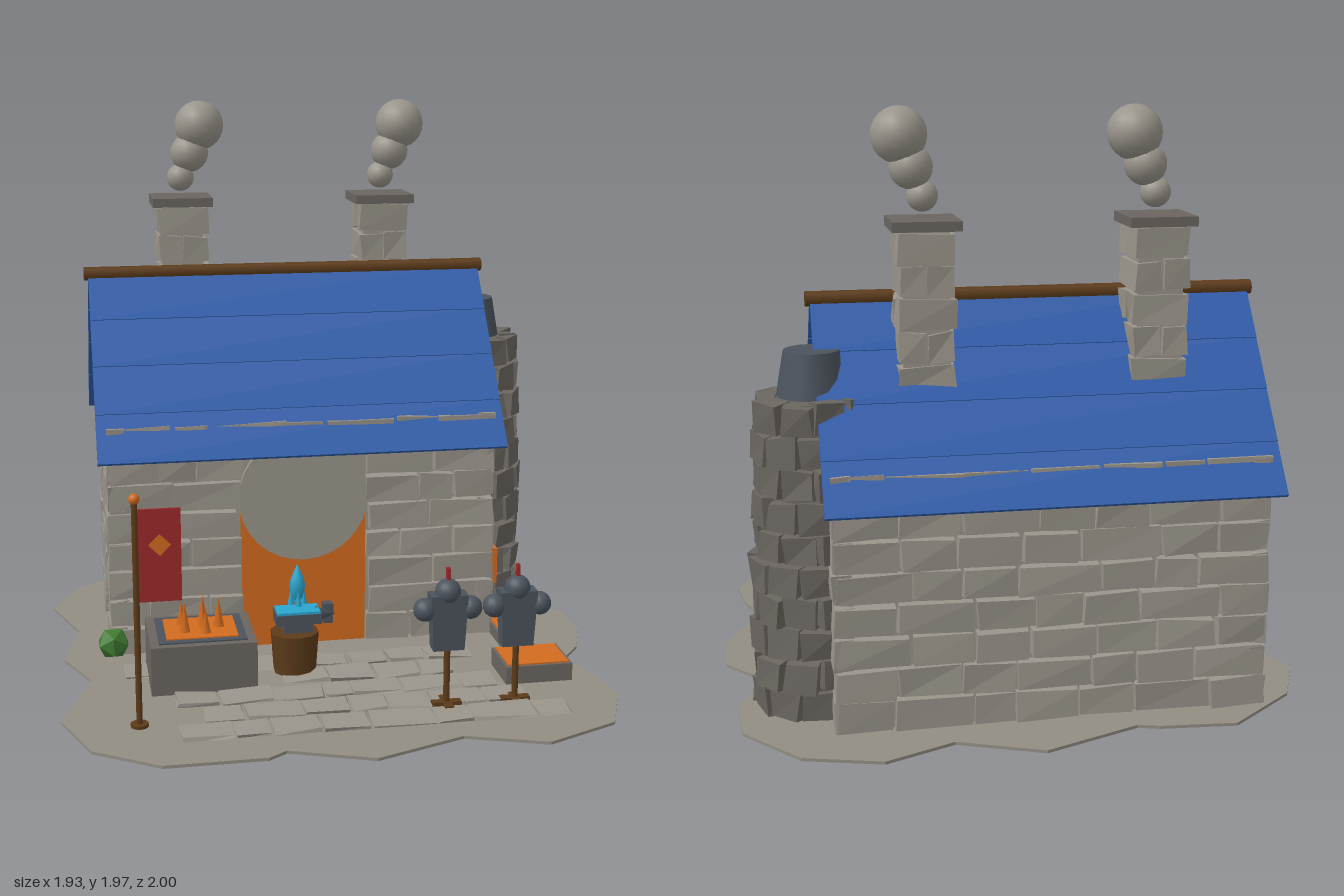
import * as THREE from 'three';
import { mergeGeometries } from 'three/addons/utils/BufferGeometryUtils.js';

const paint = (name, color) => {
  const m = new THREE.MeshStandardMaterial({ color });
  m.name = name;
  return m;
};

export function createModel() {
  const stone = paint('pale stone', 0x9a958b), darkStone = paint('dark stone', 0x6a655f);
  const earth = paint('earth', 0x938d82), blue = paint('roof blue', 0x2f5dab);
  const wood = paint('wood', 0x5c3b19), orange = paint('molten orange', 0xd26b1f);
  const iron = paint('iron', 0x4b535c), red = paint('banner red', 0x9c2a2a);
  const cyan = paint('cyan', 0x2ba6cf), green = paint('leaf green', 0x3f7a30);
  const model = new THREE.Group();
  const FLOOR = 0.042;

  let seed = 7;
  const rnd = (a = 0, b = 1) => {
    seed = (seed * 16807) % 2147483647;
    return a + (b - a) * (seed / 2147483647);
  };
  const add = (parent, name, geo, mat, x = 0, y = 0, z = 0) => {
    const m = new THREE.Mesh(geo, mat);
    m.name = name;
    m.position.set(x, y, z);
    parent.add(m);
    return m;
  };
  const group = (name, parent = model, x = 0, y = 0, z = 0) => {
    const g = new THREE.Group();
    g.name = name;
    g.position.set(x, y, z);
    parent.add(g);
    return g;
  };
  const box = (w, h, d) => new THREE.BoxGeometry(w, h, d);
  const cyl = (rt, rb, h, n = 12) => new THREE.CylinderGeometry(rt, rb, h, n);
  const ball = r => new THREE.SphereGeometry(r, 16, 12);

  // Rough stone block: a box whose eight corners are nudged, with flat faces
  const block = (w, h, d, x, y, z, j = 0.008) => {
    const g = box(w, h, d).toNonIndexed(), p = g.attributes.position;
    const nudge = Array.from({ length: 8 }, () => [rnd(-j, j), rnd(-j, j), rnd(-j, j)]);
    for (let i = 0; i < p.count; i++) {
      const c = nudge[(p.getX(i) > 0) + 2 * (p.getY(i) > 0) + 4 * (p.getZ(i) > 0)];
      p.setXYZ(i, p.getX(i) + c[0], p.getY(i) + c[1], p.getZ(i) + c[2]);
    }
    g.computeVertexNormals();
    return g.translate(x, y, z);
  };
  // One course of blocks from a to b along x
  const course = (out, a, b, y, h, z, depth, avg = 0.19) => {
    const n = Math.max(1, Math.round((b - a) / avg));
    const cuts = [a];
    for (let i = 1; i < n; i++) cuts.push(a + (b - a) * (i + rnd(-0.25, 0.25)) / n);
    cuts.push(b);
    for (let i = 0; i < n; i++)
      out.push(block(cuts[i + 1] - cuts[i] - 0.01, h - 0.01, depth + rnd(0, 0.01), (cuts[i] + cuts[i + 1]) / 2, y, z, 0.006));
  };

  // Ground slab with a lobed outline
  const outline = [[0, -1], [.27, -.89], [.5, -.99], [.75, -.92], [.92, -.71], [.93, -.5], [.83, -.29], [.96, -.13], [.96, .06],
    [.9, .22], [.82, .32], [.88, .5], [.9, .65], [.81, .87], [.56, .98], [.3, .89], [0, 1], [-.27, .9], [-.33, .94], [-.66, .94],
    [-.87, .8], [-.96, .56], [-.85, .24], [-.94, .03], [-.88, -.24], [-.97, -.5], [-.88, -.71], [-.64, -.91], [-.39, -.89], [-.32, -.87]];
  const slab = new THREE.ExtrudeGeometry(new THREE.Shape(outline.map(([x, z]) => new THREE.Vector2(x, -z))), { depth: 0.01, bevelEnabled: false });
  add(model, 'ground', slab.rotateX(-Math.PI / 2), earth, 0, FLOOR - 0.01, 0);

  // Paving in front of the door
  const paving = [];
  [[-.74, .5, .2], [-.2, .4, .335], [-.58, .52, .47], [-.5, .59, .6], [-.59, .7, .73]].forEach(([a, b, z]) =>
    course(paving, a, b, FLOOR + 0.004, 0.022, z, 0.105, 0.165));
  add(model, 'pavingStones', mergeGeometries(paving), stone);

  // House: pentagonal core with gables, faced with stone courses
  const house = group('house');
  const X0 = -0.77, X1 = 0.63, Z0 = -0.785, Z1 = 0.035, MID = -0.375;
  const gable = new THREE.Shape([[-.375, FLOOR], [.375, FLOOR], [.375, .85], [0, 1.33], [-.375, .85]].map(p => new THREE.Vector2(...p)));
  const core = new THREE.ExtrudeGeometry(gable, { depth: 1.35, bevelEnabled: false }).rotateY(Math.PI / 2);
  add(house, 'wallCore', core, stone, -0.745, 0, MID);
  const H = 0.105, walls = [];
  for (let r = 0; r < 8; r++) {
    const y = FLOOR + H * (r + 0.5);
    if (r < 7) {
      course(walls, X0, -0.3 + rnd(-.01, .01), y, H, Z1 - 0.03, 0.055);
      course(walls, 0.155 + rnd(-.01, .01), X1, y, H, Z1 - 0.03, 0.055);
    } else course(walls, X0, X1, y, H, Z1 - 0.03, 0.04);
    course(walls, X0, X1, y, H, Z0 + 0.03, r < 7 ? 0.055 : 0.04);
    for (const x of [X0 + 0.03, X1 - 0.03]) {
      const side = [];
      course(side, -Z1, -Z0, y, H, x, 0.055);
      side.forEach(g => walls.push(g.rotateY(Math.PI / 2)));
    }
  }
  add(house, 'wallStones', mergeGeometries(walls), stone);

  // Glowing doorway under a round stone lintel
  add(house, 'doorGlow', box(0.455, 0.56, 0.008), orange, -0.073, FLOOR + 0.28, 0.008);
  add(house, 'roundLintel', cyl(0.235, 0.235, 0.02, 32).rotateX(Math.PI / 2), stone, -0.073, 0.6, 0.018);

  // Roof: overlapping boards on both slopes and a ridge beam
  const roof = group('roof', house, -0.073, 1.36, MID);
  const slope = Math.atan2(0.59, 0.465), boards = 4, len = 0.752 / boards;
  for (const turn of [0, Math.PI]) {
    const half = group('roofSlope', roof);
    half.rotation.set(slope, turn, 0, 'YXZ');
    for (let i = 0; i < boards; i++) {
      const b = add(half, 'roofBoard', box(1.46, 0.014, len + 0.01), blue, 0, 0.004, len * (i + 0.5));
      b.rotation.x = -0.02;
    }
  }
  add(roof, 'ridgeBeam', cyl(0.025, 0.025, 1.49, 8).rotateZ(Math.PI / 2), wood, 0, 0.005, 0);

  // Chimneys with drifting smoke
  for (const x of [-0.45, 0.305]) {
    const c = group('chimney', model, x, 0, -0.5), bricks = [];
    add(c, 'flue', box(0.15, 0.55, 0.15), stone, 0, 1.32, 0);
    for (let r = 0; r < 5; r++) {
      const y = 1.125 + r * 0.105;
      if (r % 2) for (const s of [-1, 1]) bricks.push(block(0.085, 0.095, 0.18, s * 0.046, y, 0));
      else for (const s of [-1, 1]) bricks.push(block(0.18, 0.095, 0.085, 0, y, s * 0.046));
    }
    add(c, 'chimneyBricks', mergeGeometries(bricks), stone);
    add(c, 'chimneyCap', box(0.22, 0.032, 0.22), darkStone, 0, 1.615, 0);
    [[0, 1.7, .05], [.035, 1.79, .07], [.072, 1.89, .09]].forEach(([dx, y, r]) => add(c, 'smokePuff', ball(r), stone, dx, y, 0.01));
  }

  // Furnace tower: tapering rings of dark blocks
  const tower = group('furnaceTower', model, 0.67, 0, -0.49), rings = [];
  add(tower, 'towerCore', cyl(0.14, 0.165, 1.03, 18), darkStone, 0, FLOOR + 0.515, 0);
  for (let r = 0; r < 10; r++) {
    const R = 0.168 - r * 0.0025, n = 10;
    for (let i = 0; i < n; i++)
      rings.push(block(R * 0.66, 0.094, 0.06, 0, FLOOR + 0.104 * (r + 0.5), R + rnd(-.006, .01), 0.009)
        .rotateY((i + (r % 2) / 2) / n * Math.PI * 2));
  }
  add(tower, 'towerBlocks', mergeGeometries(rings), darkStone);
  add(tower, 'towerCap', cyl(0.09, 0.115, 0.145, 16), iron, -0.008, 1.15, 0);
  add(tower, 'furnaceMouth', box(0.105, 0.14, 0.05), orange, 0.01, 0.2, 0.212);

  // Casting channel and basin
  const channel = group('castingChannel');
  add(channel, 'channelBed', box(0.1, 0.04, 0.64), darkStone, 0.675, FLOOR + 0.02, 0.02);
  add(channel, 'channelMetal', box(0.08, 0.006, 0.64), orange, 0.675, FLOOR + 0.042, 0.02);
  add(channel, 'basin', box(0.235, 0.062, 0.185), darkStone, 0.665, FLOOR + 0.031, 0.425);
  add(channel, 'basinMetal', box(0.215, 0.006, 0.165), orange, 0.665, FLOOR + 0.064, 0.425);

  // Forge hearth with flames
  const forge = group('forge', model, -0.475, 0, 0.262);
  add(forge, 'hearth', box(0.36, 0.17, 0.3), darkStone, 0, FLOOR + 0.085, 0);
  add(forge, 'hearthFrame', box(0.3, 0.008, 0.245), iron, 0, 0.213, 0);
  add(forge, 'embers', box(0.245, 0.008, 0.195), orange, 0, 0.217, 0);
  [[-.06, -.04, .09], [.015, -.06, .1], [.065, -.005, .11], [.01, -.005, .08], [-.055, .03, .11], [.015, .05, .09]].forEach(([x, z, h]) =>
    add(forge, 'flame', new THREE.ConeGeometry(0.021, h, 6), orange, x, 0.215 + h / 2, z));

  // Anvil on a stump, with a blue flame
  const anvil = group('anvil', model, -0.135, 0, 0.26);
  add(anvil, 'stump', cyl(0.085, 0.075, 0.145, 10), wood, -0.01, FLOOR + 0.0725, 0);
  add(anvil, 'anvilWaist', box(0.1, 0.04, 0.06), iron, 0, 0.205, 0);
  add(anvil, 'anvilTop', box(0.16, 0.036, 0.09), iron, 0, 0.24, 0);
  add(anvil, 'anvilHorn', new THREE.ConeGeometry(0.03, 0.07, 8).rotateZ(-Math.PI / 2), iron, 0.1, 0.24, -0.005);
  add(anvil, 'hammerHead', box(0.035, 0.07, 0.035), iron, 0.11, 0.24, -0.02);
  add(anvil, 'hotPlate', box(0.15, 0.009, 0.085), cyan, 0, 0.262, 0);
  const flame = [[0, 0], [.02, .02], [.028, .06], [.022, .09], [0, .14]].map(p => new THREE.Vector2(...p));
  add(anvil, 'blueFlame', new THREE.LatheGeometry(flame, 8), cyan, 0, 0.29, 0);
  for (const s of [-1, 1]) {
    add(anvil, 'sideFlame', new THREE.ConeGeometry(0.013, 0.06, 6), cyan, s * 0.022, 0.315, 0);
    add(anvil, 'sideFlame', new THREE.ConeGeometry(0.013, 0.06, 6), cyan, 0, 0.315, s * 0.024);
  }

  // Armour stands
  for (const x of [0.305, 0.54]) {
    const s = group('armourStand', model, x, 0, 0.64);
    add(s, 'post', cyl(0.011, 0.011, 0.3, 8), wood, 0, FLOOR + 0.15, 0);
    add(s, 'foot', box(0.1, 0.012, 0.03), wood, 0, FLOOR + 0.006, 0);
    add(s, 'footCross', box(0.03, 0.012, 0.1), wood, 0, FLOOR + 0.006, 0);
    const torso = cyl(0.088, 0.074, 0.19, 4).rotateY(Math.PI / 4).toNonIndexed();
    torso.scale(1, 1, 0.5).computeVertexNormals();
    add(s, 'breastplate', torso, iron, 0, 0.335, 0);
    for (const d of [-1, 1]) add(s, 'shoulder', ball(0.039), iron, d * 0.077, 0.378, 0);
    add(s, 'helmet', ball(0.043), iron, 0, 0.437, 0);
    add(s, 'plume', box(0.011, 0.05, 0.02), red, 0, 0.493, 0);
  }

  // Banner
  const banner = group('banner', model, -0.71, 0, 0.64);
  add(banner, 'bannerPole', cyl(0.01, 0.01, 0.75, 8), wood, 0, FLOOR + 0.375, 0);
  add(banner, 'bannerFoot', cyl(0.03, 0.03, 0.01, 10), wood, 0, FLOOR + 0.005, 0);
  add(banner, 'finial', ball(0.018), orange, 0, 0.802, 0);
  add(banner, 'flag', box(0.135, 0.305, 0.009), red, 0.077, 0.615, 0);
  add(banner, 'flagDiamond', box(0.05, 0.05, 0.018).rotateZ(Math.PI / 4), orange, 0.077, 0.65, 0);

  // Shrub and low tufts
  [[-.765, .1, .05, .06], [-.62, .035, -.4, .035], [-.5, .035, -.55, .035], [-.1, .035, -.72, .035], [-.75, .035, -.2, .035]].forEach(([x, y, z, r]) =>
    add(model, 'shrub', new THREE.IcosahedronGeometry(r, 0), green, x, y, z));

  return model;
}
